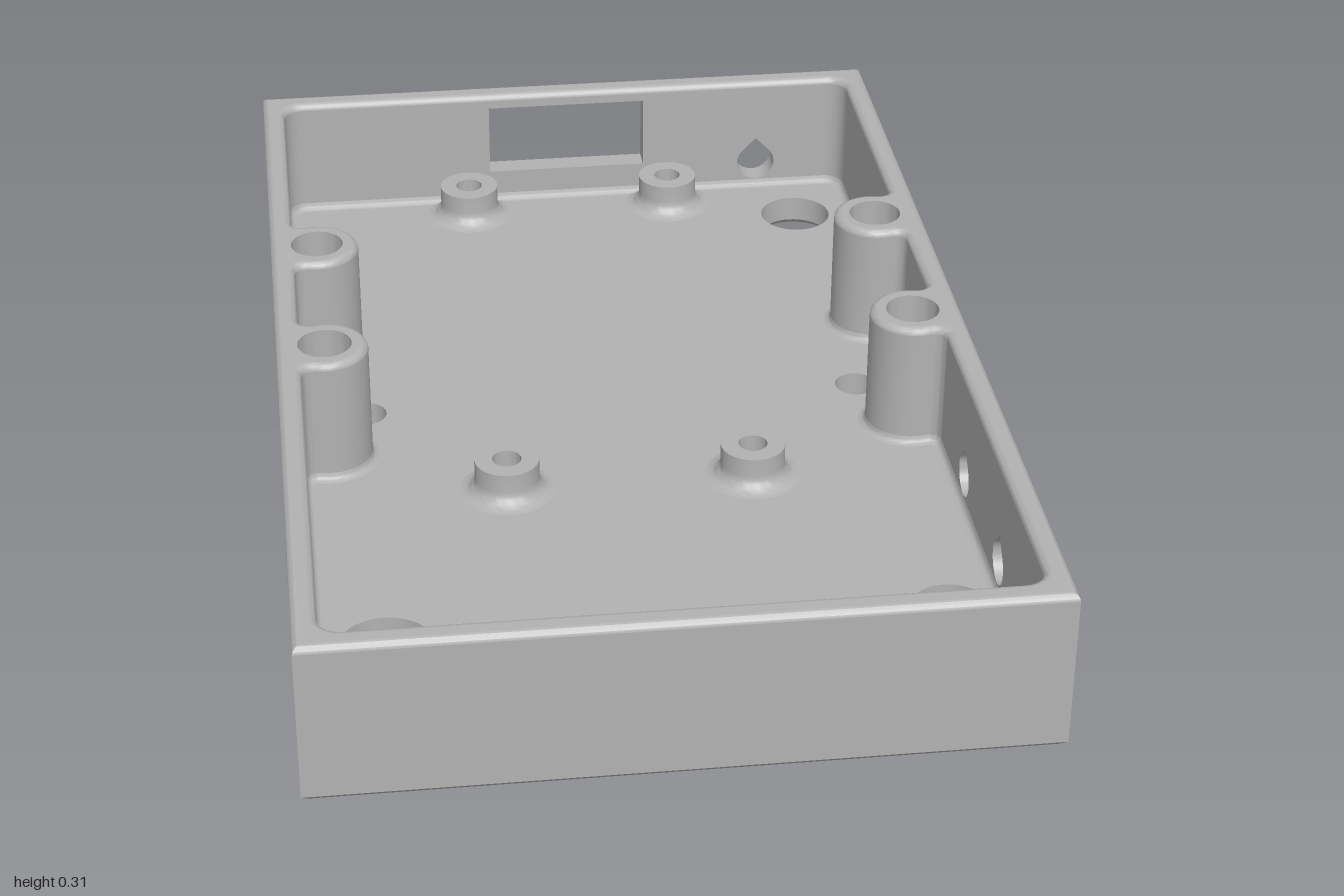
import * as THREE from 'three';
import { toCreasedNormals } from 'three/addons/utils/BufferGeometryUtils.js';

const W = 0.64, L = 1, H = 0.31;            // outer half width, half length, height
const IW = 0.597, IL = 0.953, FLOOR = 0.064; // cavity
const ROUND = 0.013, CHAMFER = 0.012, COVE = 0.014;
const POST_X = 0.55, POST_R = 0.08, POST_HOLE = 0.05, POSTS = [-0.34, 0.045];
const FLOOR_HOLES = [
  [0.475, -0.81, 0.072], [-0.48, 0.665, 0.084], [0.508, 0.665, 0.07], [0.19, 0.76, 0.061],
  [-0.477, -0.1, 0.04], [0.477, -0.1, 0.04], [-0.477, 0.855, 0.04], [0.477, 0.855, 0.04],
];
const STANDOFFS = [[-0.215, -0.895], [0.21, -0.895], [-0.23, 0.195], [0.228, 0.195]];

const V = (x, y, z) => new THREE.Vector3(x, y, z);
const P = (x, y) => new THREE.Vector2(x, y);

// Points of an arc from angle a to b
function arc(cx, cy, r, a, b, n) {
  return Array.from({ length: n + 1 }, (_, i) => {
    const t = a + (b - a) * i / n;
    return P(cx + r * Math.cos(t), cy + r * Math.sin(t));
  });
}

// Cavity outline in x,z, shrunk by d: rounded corners, and posts blended into the long walls
function cavity(d) {
  const c = 0.04, f = 0.022, q = Math.PI / 2;
  const dz = Math.sqrt((POST_R + f) ** 2 - (IW - f - POST_X) ** 2);
  const a = Math.atan2(dz, POST_X - IW + f);
  const right = arc(IW - c, c - IL, c - d, -q, 0, 6);
  for (const z of POSTS) {
    right.push(...arc(IW - f, z - dz, f - d, 0, a, 6));
    right.push(...arc(POST_X, z, POST_R + d, a - Math.PI, -Math.PI - a, 20).slice(1, -1));
    right.push(...arc(IW - f, z + dz, f - d, -a, 0, 6));
  }
  right.push(...arc(IW - c, IL - c, c - d, 0, q, 6));
  return [...right, ...right.map(p => P(-p.x, p.y)).reverse()];
}

// Outer rectangle in x,z, shrunk by d
const outer = d => [P(W - d, d - L), P(W - d, L - d), P(d - W, L - d), P(d - W, d - L)];
const circle = (x, y, r) => arc(x, y, r, 0, Math.PI * 2, 40).slice(0, -1);
const lift = (pts, y) => pts.map(p => V(p.x, y, p.y));

// Skin between successive closed rings of points
function loft(rings, flip = false) {
  const out = [];
  const tri = (a, b, c) => (flip ? [a, c, b] : [a, b, c]).forEach(p => out.push(p.x, p.y, p.z));
  for (let k = 0; k + 1 < rings.length; k++) {
    const A = rings[k], B = rings[k + 1], n = A.length;
    for (let i = 0; i < n; i++) {
      const j = (i + 1) % n;
      tri(A[i], A[j], B[j]);
      tri(A[i], B[j], B[i]);
    }
  }
  const g = new THREE.BufferGeometry();
  g.setAttribute('position', new THREE.Float32BufferAttribute(out, 3));
  return toCreasedNormals(g, 0.6);
}

// Flat face with holes, placed in space by map(u, v)
function face(outline, holes, map, flip) {
  const s = new THREE.Shape(outline);
  s.holes = holes.map(h => new THREE.Path(h));
  const g = new THREE.ShapeGeometry(s), p = g.attributes.position, ix = g.index;
  for (let i = 0; i < p.count; i++) p.setXYZ(i, ...map(p.getX(i), p.getY(i)));
  if (flip) for (let i = 0; i < ix.count; i += 3) {
    const t = ix.getX(i);
    ix.setX(i, ix.getX(i + 1));
    ix.setX(i + 1, t);
  }
  g.computeVertexNormals();
  return g;
}
const rect = (a, b, y0, y1) => [P(a, y0), P(b, y0), P(b, y1), P(a, y1)];

// Wall openings as outlines along the wall and upward
const teardrop = s => [...arc(s, 0.12, 0.04, Math.PI * 0.75, Math.PI * 2.25, 24), P(s, 0.12 + 0.04 * Math.SQRT2)];
const SIDE = [0.62, 0.335, -0.095, -0.52].map(s => ({ s, pts: teardrop(s) }));
const BACK = [{ s: 0.41, pts: teardrop(0.41) }, { s: 0, pts: rect(-0.165, 0.165, 0.13, 0.28) }];

export function createModel() {
  const model = new THREE.Group();
  model.name = 'enclosureTray';
  const grey = new THREE.MeshStandardMaterial({ color: 0xb2b2b2, side: THREE.DoubleSide });
  grey.name = 'grey plastic';
  const add = (name, geo, x = 0, z = 0) => {
    const m = new THREE.Mesh(geo, grey);
    m.name = name;
    m.position.set(x, 0, z);
    model.add(m);
  };
  const lathe = pts => toCreasedNormals(new THREE.LatheGeometry(pts.map(p => P(...p)), 40), 0.6);

  // Upright wall face at x = pos or z = pos, with the openings that fall in its span
  const panel = (name, alongZ, pos, a, b, y0, y1, inside) => {
    const list = alongZ ? SIDE : pos < 0 ? BACK : [];
    const holes = list.filter(h => h.s > a && h.s < b).map(h => h.pts);
    const map = alongZ ? (s, y) => [pos, y, s] : (s, y) => [s, y, pos];
    const want = (pos > 0) !== inside;           // wanted normal points to the plus side
    add(name, face(rect(a, b, y0, y1), holes, map, alongZ ? want : !want));
  };

  // Outer walls, bottom chamfer and rounded top edge
  for (const s of [-1, 1]) {
    panel('outerSideWall', true, s * W, -L, L, CHAMFER, H - ROUND, false);
    panel('outerEndWall', false, s * L, -W, W, CHAMFER, H - ROUND, false);
  }
  const rounding = Array.from({ length: 5 }, (_, i) => {
    const t = i / 4 * Math.PI / 2;
    return [ROUND * (1 - Math.cos(t)), H - ROUND + ROUND * Math.sin(t)];
  });
  add('bottomChamfer', loft([lift(outer(CHAMFER), 0), lift(outer(0), CHAMFER)], true));
  add('outerRimEdge', loft(rounding.map(([d, y]) => lift(outer(d), y)), true));
  add('innerRimEdge', loft(rounding.map(([d, y]) => lift(cavity(-d), y))));

  // Cove between floor and walls
  const cove = Array.from({ length: 5 }, (_, i) => {
    const t = i / 4 * Math.PI / 2;
    return lift(cavity(COVE * (1 - Math.sin(t))), FLOOR + COVE * (1 - Math.cos(t)));
  });
  add('floorCove', loft(cove));

  // Inner walls: flat panels on the long runs, curved strips at corners and posts
  const ring = cavity(0), y0 = FLOOR + COVE, y1 = H - ROUND;
  const curved = [];
  ring.forEach((p, i) => {
    const q = ring[(i + 1) % ring.length];
    if (p.distanceTo(q) > 0.1) {
      const alongZ = Math.abs(p.x - q.x) < 1e-6;
      const [a, b] = alongZ ? [p.y, q.y] : [p.x, q.x];
      panel('innerWall', alongZ, alongZ ? p.x : p.y, Math.min(a, b), Math.max(a, b), y0, y1, true);
    } else curved.push([p, q]);
  });
  const strip = [];
  for (const [p, q] of curved) {
    const a = V(p.x, y0, p.y), b = V(q.x, y0, q.y), c = V(q.x, y1, q.y), d = V(p.x, y1, p.y);
    for (const v of [a, b, c, a, c, d]) strip.push(v.x, v.y, v.z);
  }
  const stripGeo = new THREE.BufferGeometry();
  stripGeo.setAttribute('position', new THREE.Float32BufferAttribute(strip, 3));
  add('postsAndCorners', toCreasedNormals(stripGeo, 0.6));

  // Rim, floor and underside
  const postHoles = [-1, 1].flatMap(s => POSTS.map(z => [s * POST_X, z]));
  const at = y => (x, z) => [x, y, z];
  const rimHoles = [cavity(-ROUND), ...postHoles.map(([x, z]) => circle(x, z, POST_HOLE))];
  add('topRim', face(outer(ROUND), rimHoles, at(H), true));
  add('floor', face(cavity(COVE), FLOOR_HOLES.map(h => circle(...h)), at(FLOOR), true));
  add('underside', face(outer(CHAMFER), FLOOR_HOLES.map(([x, z, r]) => circle(x, z, r + CHAMFER)), at(0), false));

  // Floor holes with chamfered mouths below
  for (const [x, z, r] of FLOOR_HOLES)
    add('floorHole', lathe([[r, FLOOR], [r, CHAMFER], [r + CHAMFER, 0]]), x, z);

  // Blind bores in the wall posts
  for (const [x, z] of postHoles)
    add('postBore', lathe([[POST_HOLE, H], [POST_HOLE, FLOOR], [0, FLOOR]]), x, z);

  // Flared standoffs with screw holes
  const flare = arc(0.09, FLOOR + 0.03, 0.03, -Math.PI / 2, -Math.PI, 6).map(p => [p.x, p.y]);
  for (const [x, z] of STANDOFFS)
    add('standoff', lathe([...flare, [0.06, 0.13], [0.027, 0.13], [0.027, FLOOR + 0.002], [0, FLOOR + 0.002]]), x, z);

  // Linings of the wall openings
  for (const h of SIDE) for (const [a, b] of [[IW, W], [-W, -IW]])
    add('sideVent', loft([a, b].map(x => h.pts.map(p => V(x, p.y, p.x)))));
  for (const h of BACK)
    add('backOpening', loft([-IL, -L].map(z => h.pts.map(p => V(p.x, p.y, z)))));

  return model;
}
